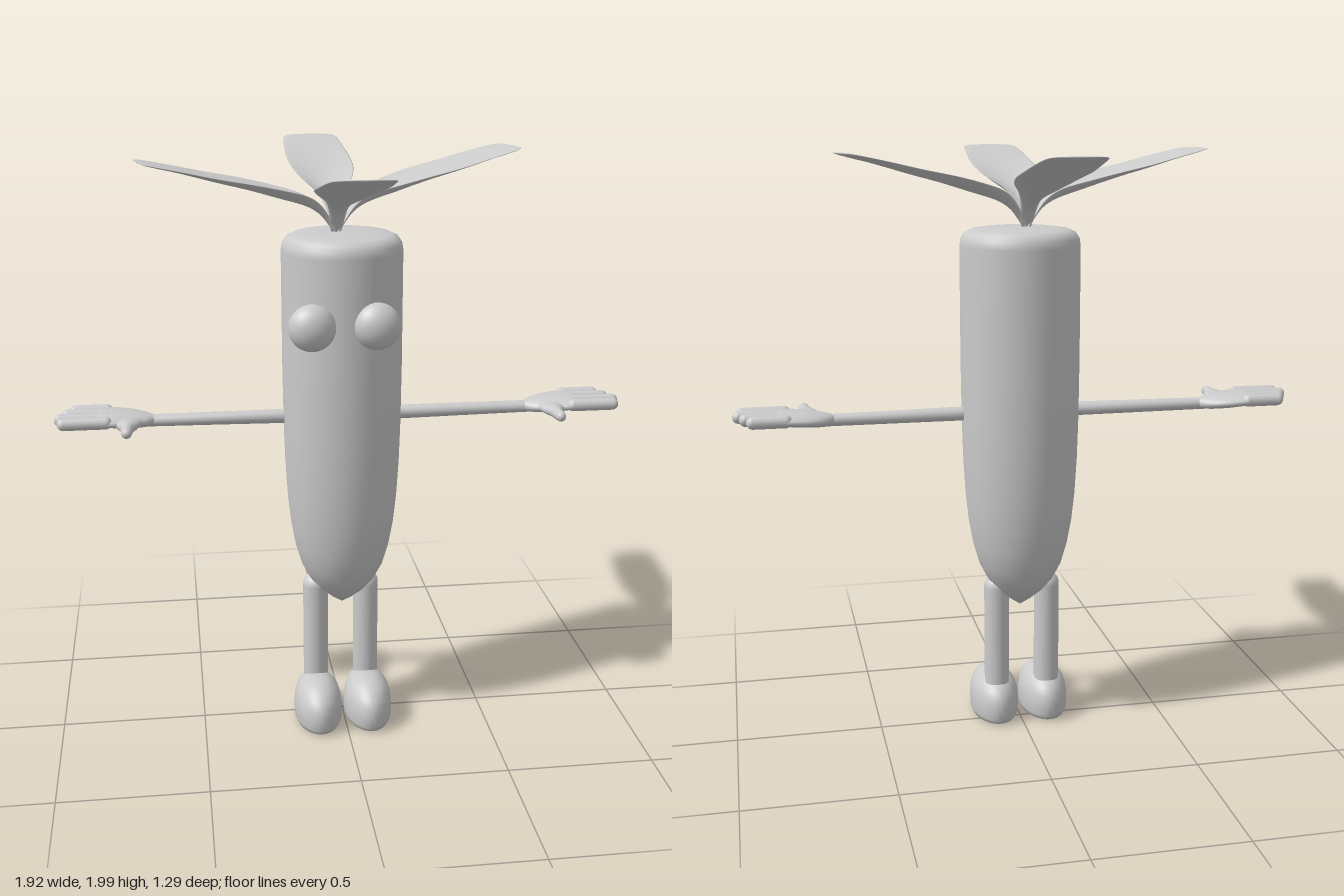
import * as THREE from 'three';

const grey = new THREE.MeshStandardMaterial({ color: 0xcccccc });

function add(parent, geometry, name, x = 0, y = 0, z = 0) {
  const mesh = new THREE.Mesh(geometry, grey);
  mesh.name = name;
  mesh.position.set(x, y, z);
  parent.add(mesh);
  return mesh;
}

// Closed skin over oval sections along z: [z, x, y, halfWidth, halfHeight, cup]
function loft(sections, sides = 20) {
  const pos = [], idx = [];
  for (const [z, x, y, w, h, cup = 0] of sections) {
    for (let j = 0; j < sides; j++) {
      const a = (j / sides) * Math.PI * 2, c = Math.cos(a);
      pos.push(x + w * c, y + h * Math.sin(a) + cup * c * c, z);
    }
  }
  const last = sections.length - 1;
  for (let j = 0; j < sides; j++) {
    const k = (j + 1) % sides;
    for (let i = 0; i < last; i++) {
      const p = i * sides, q = p + sides;
      idx.push(p + j, p + k, q + k, p + j, q + k, q + j);
    }
  }
  // end caps
  [0, last].forEach((i) => {
    const centre = pos.length / 3, [z, x, y] = sections[i];
    pos.push(x, y, z);
    for (let j = 0; j < sides; j++) {
      const p = i * sides + j, q = i * sides + ((j + 1) % sides);
      if (i === 0) idx.push(centre, q, p);
      else idx.push(centre, p, q);
    }
  });
  const g = new THREE.BufferGeometry();
  g.setAttribute('position', new THREE.Float32BufferAttribute(pos, 3));
  g.setIndex(idx);
  g.computeVertexNormals();
  return g;
}

// Resample a few key sections into a smooth run
function smooth(keys, steps) {
  const at = (k, t) => {
    const f = t * (keys.length - 1), i = Math.min(Math.floor(f), keys.length - 2), u = f - i;
    const p = (n) => keys[Math.max(0, Math.min(keys.length - 1, n))][k] ?? 0;
    const a = p(i - 1), b = p(i), c = p(i + 1), d = p(i + 2);
    return b + 0.5 * u * (c - a + u * (2 * a - 5 * b + 4 * c - d + u * (3 * (b - c) + d - a)));
  };
  return Array.from({ length: steps + 1 }, (_, s) => [0, 1, 2, 3, 4, 5].map((k) => at(k, s / steps)));
}

const lathe = (points, sides) =>
  new THREE.LatheGeometry(points.map(([r, y]) => new THREE.Vector2(r, y)), sides);

// Arm with an open hand, pointing along local +z
function makeArm() {
  const arm = new THREE.Group();
  const y = 1.128;
  add(arm, loft([[0.15, 0.0, y, 0.024, 0.024], [0.4, 0.005, y, 0.023, 0.022], [0.68, 0.01, y, 0.023, 0.02]]), 'forearm');
  add(arm, loft(smooth([
    [0.63, 0.01, 1.13, 0.018, 0.016],
    [0.66, 0.012, 1.132, 0.05, 0.022],
    [0.71, 0.012, 1.137, 0.08, 0.025],
    [0.77, 0.012, 1.142, 0.092, 0.024],
    [0.81, 0.012, 1.145, 0.088, 0.02],
    [0.825, 0.012, 1.145, 0.06, 0.01],
  ], 15), 24), 'palm');
  // [sideways position, tip]
  [[0.083, 0.918], [0.036, 0.94], [-0.013, 0.962], [-0.061, 0.95]].forEach(([x, tip], i) => {
    const r = 0.021, len = tip - 0.77 - 2 * r;
    const f = add(arm, new THREE.CapsuleGeometry(r, len, 6, 14), 'finger' + (i + 1), x, 1.146, 0.77 + r + len / 2);
    f.rotation.x = Math.PI / 2;
  });
  // thumb, sticking out sideways to the front
  const thumb = add(arm, loft(smooth([
    [0, 0, 0, 0.055, 0.019],
    [0.05, 0, 0, 0.04, 0.02],
    [0.085, 0, 0, 0.023, 0.019],
    [0.13, 0.002, 0, 0.018, 0.018],
    [0.147, 0.002, 0, 0.013, 0.013],
    [0.152, 0.002, 0, 0.003, 0.003],
  ], 15)), 'thumb', -0.02, 1.137, 0.72);
  thumb.rotation.y = -Math.PI / 2;
  return arm;
}

export function createModel() {
  const model = new THREE.Group();
  model.name = 'rootVegetableFigure';

  // Body: tapered root with a softly domed top
  add(model, lathe([
    [0, 0.43], [0.04, 0.458], [0.08, 0.492], [0.115, 0.535], [0.143, 0.59], [0.163, 0.66],
    [0.178, 0.745], [0.188, 0.84], [0.195, 0.96], [0.199, 1.1], [0.201, 1.3], [0.201, 1.69],
    [0.197, 1.715], [0.185, 1.733], [0.165, 1.743], [0.12, 1.749], [0.06, 1.751], [0, 1.752],
  ], 48), 'body');

  // Eyes
  [['leftEye', 0.09], ['rightEye', -0.12]].forEach(([name, x]) => {
    add(model, new THREE.SphereGeometry(0.077, 32, 20), name, x, 1.475, 0.188).scale.z = 0.76;
  });

  // Arms
  [['leftArm', 1], ['rightArm', -1]].forEach(([name, s]) => {
    const side = new THREE.Group(), arm = makeArm();
    side.name = name;
    arm.rotation.y = Math.PI / 2;
    side.scale.x = s;
    side.add(arm);
    model.add(side);
  });

  // Legs and feet
  const foot = lathe([
    [0, 0.005], [0.06, 0.005], [0.076, 0.01], [0.083, 0.028], [0.084, 0.07], [0.081, 0.1],
    [0.073, 0.128], [0.058, 0.15], [0.038, 0.164], [0.018, 0.17], [0, 0.171],
  ], 36);
  [['left', 0.084], ['right', -0.095]].forEach(([side, x]) => {
    add(model, new THREE.CapsuleGeometry(0.044, 0.36, 8, 20), side + 'Leg', x, 0.322, 0);
    add(model, foot, side + 'Foot', x, 0, 0.062).scale.z = 1.76;
  });

  // Leaves: narrow neck, cupped blade, blunt tip
  const leaf = loft(smooth([
    [0.0, 0, 1.745, 0.016, 0.012, 0],
    [0.025, 0, 1.785, 0.024, 0.012, 0.006],
    [0.06, 0, 1.822, 0.034, 0.01, 0.018],
    [0.11, 0, 1.848, 0.054, 0.008, 0.026],
    [0.2, 0, 1.875, 0.088, 0.007, 0.026],
    [0.3, 0, 1.905, 0.107, 0.006, 0.02],
    [0.41, 0, 1.935, 0.11, 0.006, 0.012],
    [0.52, 0, 1.966, 0.104, 0.005, 0.006],
    [0.595, 0, 1.985, 0.097, 0.005, 0.003],
    [0.63, 0, 1.994, 0.086, 0.004, 0.001],
    [0.642, 0, 1.997, 0.066, 0.002, 0],
  ], 40), 28);
  const tips = [['frontLeaf', 0.005, 0.64], ['backLeaf', -0.02, -0.645], ['leftLeaf', 0.61, -0.175], ['rightLeaf', -0.615, 0.125]];
  for (const [name, dx, dz] of tips) {
    add(model, leaf, name, -0.02, 0, 0).rotation.y = Math.atan2(dx, dz);
  }
  return model;
}
